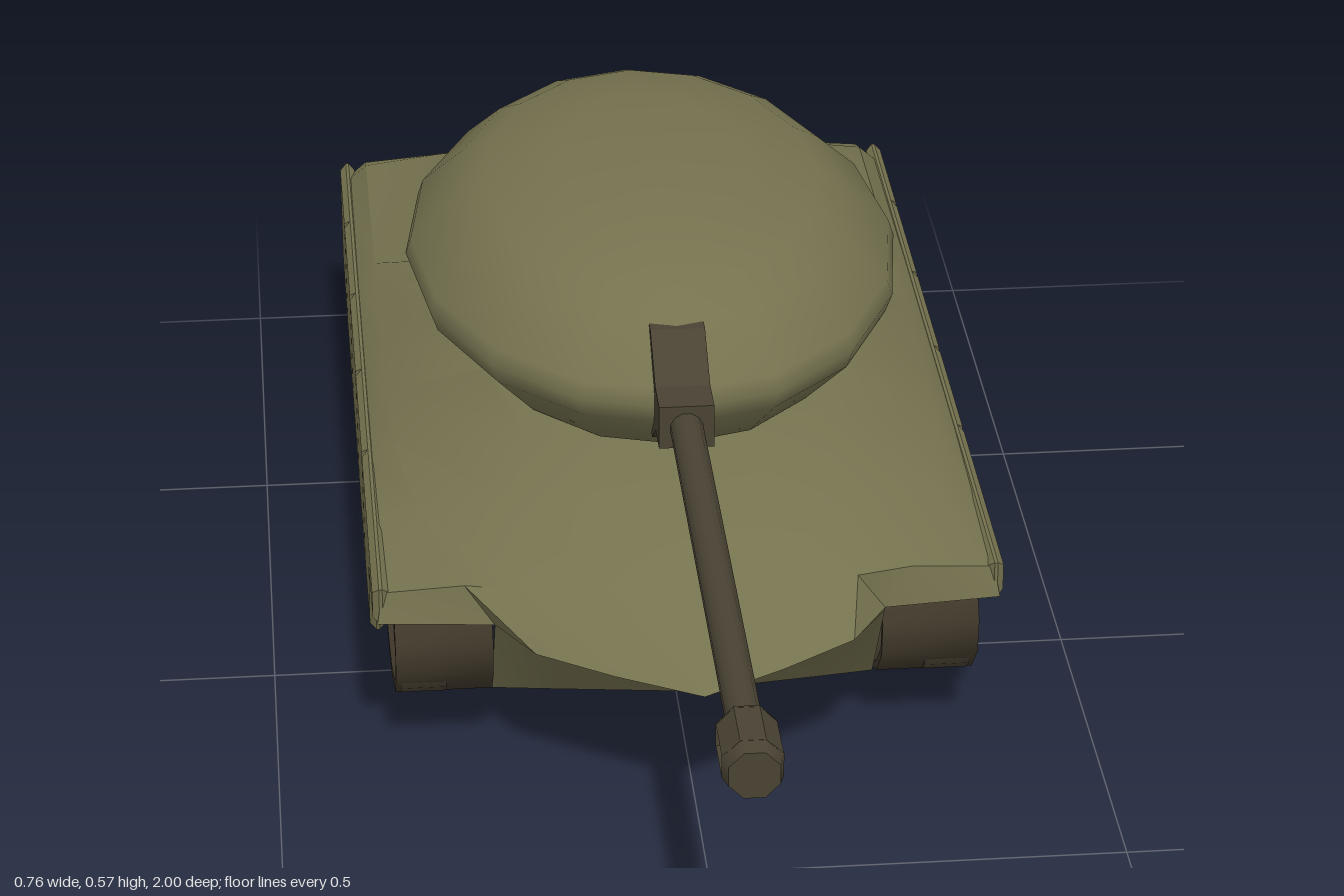
import * as THREE from 'three';
import { toCreasedNormals } from 'three/addons/utils/BufferGeometryUtils.js';

const olive = new THREE.MeshStandardMaterial({ color: 0x75724f, side: THREE.DoubleSide });
olive.name = 'olive armour';
const gunmetal = new THREE.MeshStandardMaterial({ color: 0x4a4334 });
gunmetal.name = 'dark gunmetal';
const trackBrown = new THREE.MeshStandardMaterial({ color: 0x40382a, side: THREE.DoubleSide });
trackBrown.name = 'track brown';

function add(parent, name, geometry, material) {
  const mesh = new THREE.Mesh(geometry, material);
  mesh.name = name;
  parent.add(mesh);
  return mesh;
}

// Surface through rows of points
function loft(rows, crease = 0.5) {
  const w = rows[0].length, index = [];
  for (let r = 0; r < rows.length - 1; r++) {
    for (let c = 0; c < w - 1; c++) {
      const a = r * w + c, b = a + w;
      index.push(a, a + 1, b, a + 1, b + 1, b);
    }
  }
  const g = new THREE.BufferGeometry();
  g.setAttribute('position', new THREE.Float32BufferAttribute(rows.flat(2), 3));
  g.setIndex(index);
  return toCreasedNormals(g, crease);
}

// Row given from the centre line outwards, completed by mirroring
const mirrorRow = (row) => [...row.slice(1).reverse().map(([x, y, z]) => [-x, y, z]), ...row];

const outline = (points) => new THREE.Shape(points.map(([u, v]) => new THREE.Vector2(u, v)));

// Side profile in (z, y), extruded across x and centred on it
function sideExtrude(points, width, options = {}) {
  const g = new THREE.ExtrudeGeometry(outline(points), { depth: width, bevelEnabled: false, ...options });
  return g.translate(0, 0, -width / 2).rotateY(-Math.PI / 2);
}

// Moves a counter-clockwise or clockwise outline inwards by d
function inset(points, d) {
  const n = points.length;
  const area = points.reduce((s, p, i) => {
    const q = points[(i + 1) % n];
    return s + p[0] * q[1] - q[0] * p[1];
  }, 0);
  const k = Math.sign(area) * d;
  return points.map((p, i) => {
    const a = points[(i + n - 1) % n], b = points[(i + 1) % n];
    const tz = b[0] - a[0], ty = b[1] - a[1], l = Math.hypot(tz, ty);
    return [p[0] - (ty / l) * k, p[1] + (tz / l) * k];
  });
}

function buildHull() {
  const hull = new THREE.Group();
  hull.name = 'hull';
  const chine = [[0, 0.225, 0.455], [0.1, 0.222, 0.395], [0.19, 0.225, 0.34], [0.235, 0.23, 0.275]];
  const rearEdge = [[0, 0.275, -1], [0.12, 0.278, -0.98], [0.24, 0.28, -0.955], [0.345, 0.28, -0.935], [0.368, 0.262, -0.93]];
  // Glacis, turret plinth and engine deck
  const deck = [
    [...chine, [0.375, 0.235, 0.27]],
    [[0, 0.29, 0.31], [0.1, 0.286, 0.3], [0.2, 0.282, 0.285], [0.27, 0.28, 0.265], [0.368, 0.272, 0.26]],
    [[0, 0.335, 0.19], [0.11, 0.332, 0.18], [0.2, 0.325, 0.15], [0.32, 0.298, 0.1], [0.37, 0.274, 0.1]],
    [[0, 0.363, 0.08], [0.1, 0.364, 0.06], [0.18, 0.36, 0.03], [0.34, 0.302, -0.06], [0.37, 0.276, -0.06]],
    [[0, 0.372, 0], [0.12, 0.372, -0.03], [0.22, 0.372, -0.12], [0.345, 0.302, -0.2], [0.37, 0.276, -0.2]],
    [[0, 0.372, -0.35], [0.12, 0.372, -0.35], [0.235, 0.372, -0.33], [0.345, 0.302, -0.35], [0.37, 0.276, -0.35]],
    [[0, 0.372, -0.5], [0.11, 0.372, -0.49], [0.2, 0.368, -0.44], [0.345, 0.302, -0.5], [0.37, 0.276, -0.5]],
    [[0, 0.32, -0.6], [0.12, 0.32, -0.585], [0.23, 0.32, -0.55], [0.345, 0.302, -0.57], [0.37, 0.276, -0.58]],
    [[0, 0.308, -0.92], [0.12, 0.308, -0.91], [0.24, 0.305, -0.9], [0.345, 0.296, -0.89], [0.37, 0.274, -0.89]],
    rearEdge,
  ];
  add(hull, 'deck', loft(deck.map(mirrorRow)), olive);

  // Keeled beak above a steep lower plate
  const beak = [[0, 0.09, 0.22], [0.08, 0.15, 0.25], [0.16, 0.212, 0.3], [0.235, 0.225, 0.272]];
  const noseFoot = [[0, 0.08, 0.2], [0.08, 0.08, 0.19], [0.16, 0.08, 0.18], [0.235, 0.08, 0.17]];
  add(hull, 'lowerNose', loft([noseFoot, beak, chine].map(mirrorRow), 1), olive);

  // Rear plate, deep between the tracks and short above them
  const rearFoot = [[0, 0.12, -0.965], [0.12, 0.12, -0.95], [0.235, 0.12, -0.93]];
  add(hull, 'rearPlate', loft([rearEdge.slice(0, 3), rearFoot].map(mirrorRow)), olive);
  for (const s of [-1, 1]) {
    const top = rearEdge.slice(2).map(([x, y, z]) => [s * x, y, z]);
    const foot = [[0.24, 0.21, -0.945], [0.345, 0.21, -0.935], [0.368, 0.21, -0.93]].map(([x, y, z]) => [s * x, y, z]);
    add(hull, 'rearFender', loft([top, foot].map((row) => (s > 0 ? row : row.reverse()))), olive);
  }

  // Engine covers
  for (const x of [-0.13, 0, 0.13]) {
    const cover = add(hull, 'engineCover', new THREE.BoxGeometry(0.126, 0.008, 0.19), olive);
    cover.position.set(x, 0.315, -0.715);
    cover.rotation.x = -0.038;
  }

  // Side skirts in bevelled panels
  const joints = [-0.09, -0.31, -0.53, -0.75, -0.935];
  const panels = [[[0.265, 0.279], [0.265, 0.232], [0.12, 0.222], [0.085, 0.12], [-0.09, 0.12], [-0.09, 0.279]]];
  for (let i = 0; i < 4; i++) {
    const a = joints[i], b = joints[i + 1];
    panels.push([[a, 0.279], [a, 0.12], [b, i === 3 ? 0.135 : 0.12], [b, 0.279]]);
  }
  const bevel = { bevelEnabled: true, bevelThickness: 0.008, bevelSize: 0.007, bevelOffset: -0.007, bevelSegments: 1 };
  for (const s of [-1, 1]) {
    for (const p of panels) {
      add(hull, 'skirtPanel', sideExtrude(p, 0.004, bevel), olive).position.x = s * 0.37;
    }
  }
  return hull;
}

function buildGun() {
  const gun = new THREE.Group();
  gun.name = 'gun';
  // Mount let into the turret front
  const mount = [[0, 0.395], [0.125, 0.395], [0.172, 0.43], [0.22, 0.43], [0.22, 0.485], [0.168, 0.485], [0.1, 0.527], [0, 0.527]];
  add(gun, 'gunMount', sideExtrude(mount, 0.066), gunmetal);

  // Tube and muzzle end rings: near radius, far radius, length, centre z, sides
  const tubes = [
    ['gunBarrel', 0.02, 0.02, 0.7, 0.55, 12],
    ['muzzleRearRing', 0.024, 0.036, 0.02, 0.905, 8],
    ['muzzleFrontRing', 0.036, 0.03, 0.02, 0.99, 8],
  ];
  for (const [name, near, far, length, z, sides] of tubes) {
    const geometry = new THREE.CylinderGeometry(far, near, length, sides);
    geometry.rotateY(Math.PI / sides).rotateX(Math.PI / 2);
    add(gun, name, geometry, gunmetal).position.set(0, 0.456, z);
  }

  // Muzzle cheeks above and below the open slot
  for (const s of [-1, 1]) {
    const cheek = outline([[-0.033, 0.013], [0.033, 0.013], [0.014, 0.033], [-0.014, 0.033]].map(([x, y]) => [x, s * y]));
    const geometry = new THREE.ExtrudeGeometry(cheek, { depth: 0.07, bevelEnabled: false });
    add(gun, 'muzzleCheek', geometry, gunmetal).position.set(0, 0.456, 0.912);
  }
  return gun;
}

function buildTurret() {
  const turret = new THREE.Group();
  turret.name = 'turret';
  // Oval rings: half width, front z, rear z, height
  const rings = [
    [0, -0.27, -0.27, 0.368], [0.24, 0.095, -0.63, 0.368], [0.303, 0.16, -0.73, 0.43], [0.312, 0.17, -0.74, 0.455],
    [0.305, 0.162, -0.733, 0.475], [0.248, 0.09, -0.665, 0.528], [0.212, 0.04, -0.605, 0.554],
    [0.12, -0.06, -0.47, 0.579], [0, -0.26, -0.26, 0.581],
  ];
  const n = 16;
  const rows = rings.map(([hx, zf, zr, y]) => Array.from({ length: n + 1 }, (_, i) => {
    const a = ((i % n) / n) * Math.PI * 2;
    return [hx * Math.sin(a), y, (zf + zr) / 2 + ((zf - zr) / 2) * Math.cos(a)];
  }));
  add(turret, 'turretShell', loft(rows, 1.1), olive);
  turret.add(buildGun());
  return turret;
}

// Dished wheel with a hub on its outer face, axle along x
function wheelGeometry(r, width) {
  const h = width / 2;
  const profile = [[0, -h], [r, -h], [r, h], [r * 0.8, h], [r * 0.72, h - 0.012], [r * 0.45, h - 0.012], [r * 0.4, h], [0, h]];
  const g = new THREE.LatheGeometry(profile.map(([x, y]) => new THREE.Vector2(x, y)), 18);
  return toCreasedNormals(g.rotateZ(-Math.PI / 2), 0.5);
}

function buildRunningGear(side) {
  const gear = new THREE.Group();
  gear.name = side > 0 ? 'leftTrack' : 'rightTrack';
  // Belt from the front fender, under the wheels and up to the rear; open along the top
  const belt = [
    [0.18, 0.247], [0.225, 0.228], [0.25, 0.19], [0.245, 0.145], [0.2, 0.098], [0.05, 0.035], [-0.06, 0.015], [-0.18, 0.01],
    [-0.65, 0.01], [-0.74, 0.025], [-0.82, 0.062], [-0.92, 0.125], [-0.945, 0.18], [-0.92, 0.23], [-0.88, 0.247],
  ];
  const band = [...belt, ...inset(belt, 0.011).reverse()];
  add(gear, 'trackBelt', toCreasedNormals(sideExtrude(band, 0.118), 1.1), trackBrown).position.x = side * 0.295;

  const wheels = [-0.03, -0.21, -0.385, -0.53, -0.725].map((z) => ['roadWheel', z, 0.075, 0.052]);
  wheels.push(['idlerWheel', 0.16, 0.163, 0.077], ['driveWheel', -0.868, 0.172, 0.062]);
  for (const [name, z, y, r] of wheels) {
    const wheel = add(gear, name, wheelGeometry(r, 0.055), gunmetal);
    wheel.position.set(side * 0.32, y, z);
    if (side < 0) wheel.rotation.y = Math.PI;
  }
  return gear;
}

export function createModel() {
  const tank = new THREE.Group();
  tank.name = 'tank';
  tank.add(buildHull(), buildTurret(), buildRunningGear(1), buildRunningGear(-1));
  return tank;
}
